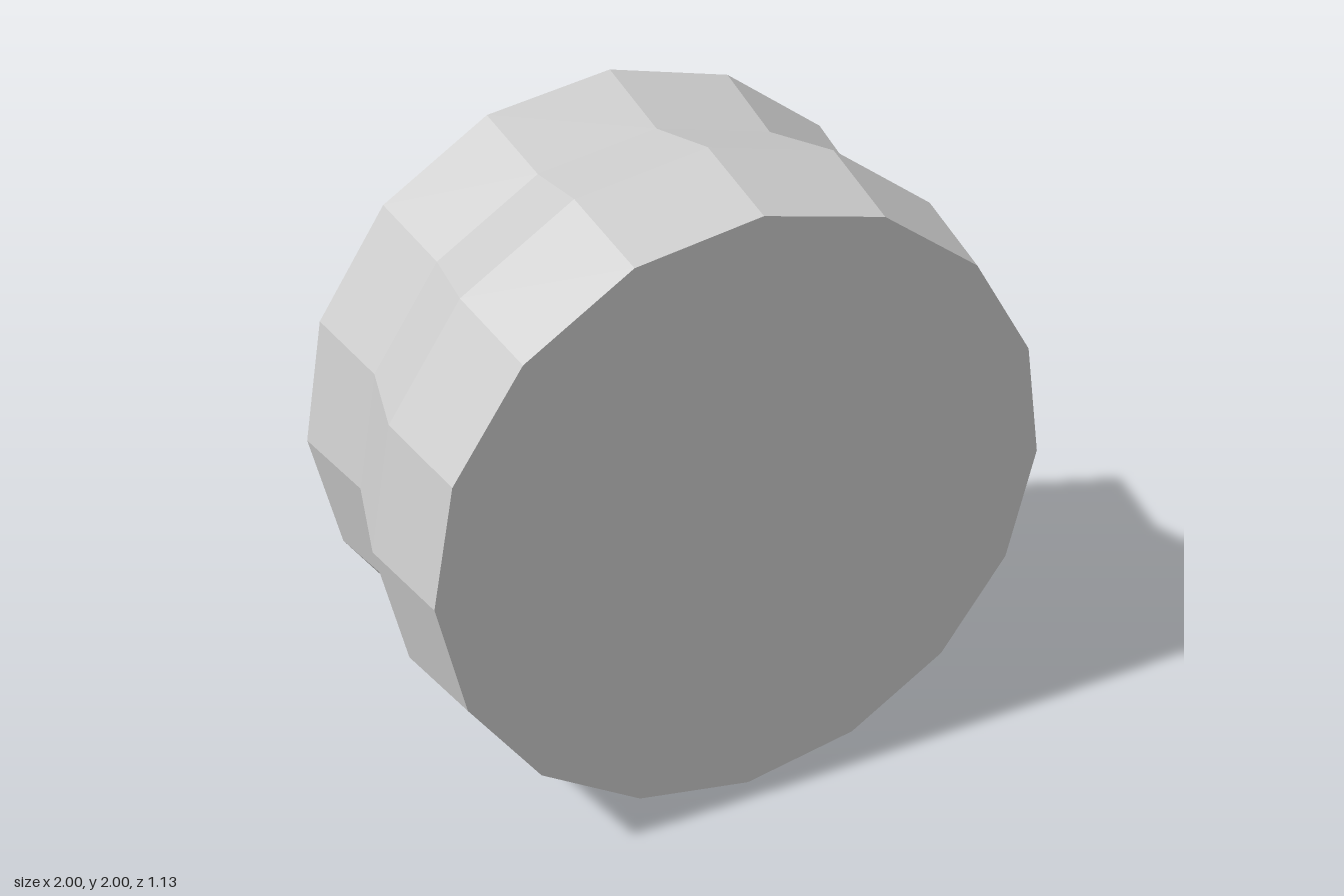
import * as THREE from 'three';

const SIDES = 16;

export function createModel() {
  const group = new THREE.Group();
  group.name = 'ribbedCup';

  const grey = new THREE.MeshStandardMaterial({ color: 0xcccccc });
  grey.name = 'light grey';
  grey.flatShading = true;
  grey.side = THREE.DoubleSide; // thin open shell

  const add = (name, geometry, z = 0) => {
    const mesh = new THREE.Mesh(geometry, grey);
    mesh.name = name;
    mesh.position.set(0, 1, z);
    group.add(mesh);
  };

  // Faceted rings, each given as [radius, z] from one edge to the other
  const ring = (...profile) =>
    new THREE.LatheGeometry(profile.map(([r, z]) => new THREE.Vector2(r, z)), SIDES)
      .rotateX(Math.PI / 2);

  // Sloping collar around the open back
  add('backCollar', ring([0.65, -0.565], [1, -0.403]));

  // Zigzag side wall with two ridges and a groove
  add('sideWall', ring([1, -0.403], [0.935, -0.08], [1, 0.242], [0.935, 0.565]));

  // Flat disc closing the front
  add('frontDisc', new THREE.CircleGeometry(0.935, SIDES), 0.565);

  return group;
}
